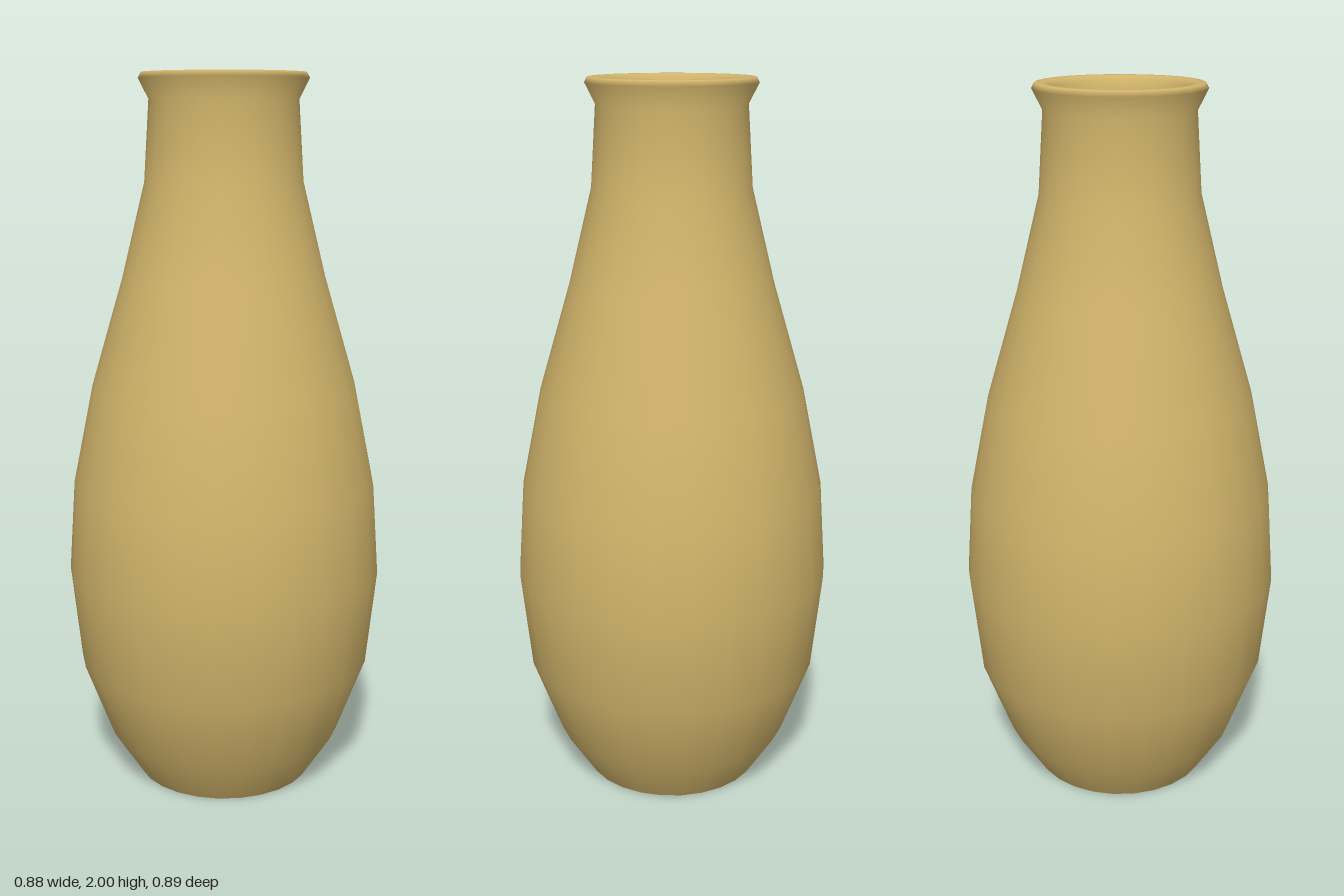
import * as THREE from 'three';

const SIDES = 26;

export function createModel() {
  const group = new THREE.Group();
  group.name = 'vase';

  const clay = new THREE.MeshStandardMaterial({ color: 0xd2b56b });
  clay.name = 'ochre clay';

  const addPart = (name, geometry) => {
    const mesh = new THREE.Mesh(geometry, clay);
    mesh.name = name;
    group.add(mesh);
  };
  const lathe = (profile) =>
    new THREE.LatheGeometry(profile.map(([r, y]) => new THREE.Vector2(r, y)), SIDES);

  // Outer wall, rounded lip and hollow inside in one smooth profile: [radius, height]
  addPart('body', lathe([
    [0.251, 0], [0.333, 0.127], [0.415, 0.345], [0.444, 0.615], [0.427, 0.87],
    [0.37, 1.15], [0.282, 1.45], [0.218, 1.71], [0.204, 1.93],
    // lip
    [0.232, 1.985], [0.224, 2], [0.2, 2], [0.182, 1.985], [0.171, 1.93],
    // inner wall
    [0.186, 1.71], [0.25, 1.45], [0.338, 1.15], [0.395, 0.87], [0.412, 0.615],
    [0.383, 0.36], [0.29, 0.18], [0.2, 0.1], [0.1, 0.05], [0, 0.035],
  ]));

  // Flat underside
  addPart('base', new THREE.CircleGeometry(0.251, SIDES, Math.PI / 2).rotateX(Math.PI / 2));

  return group;
}
